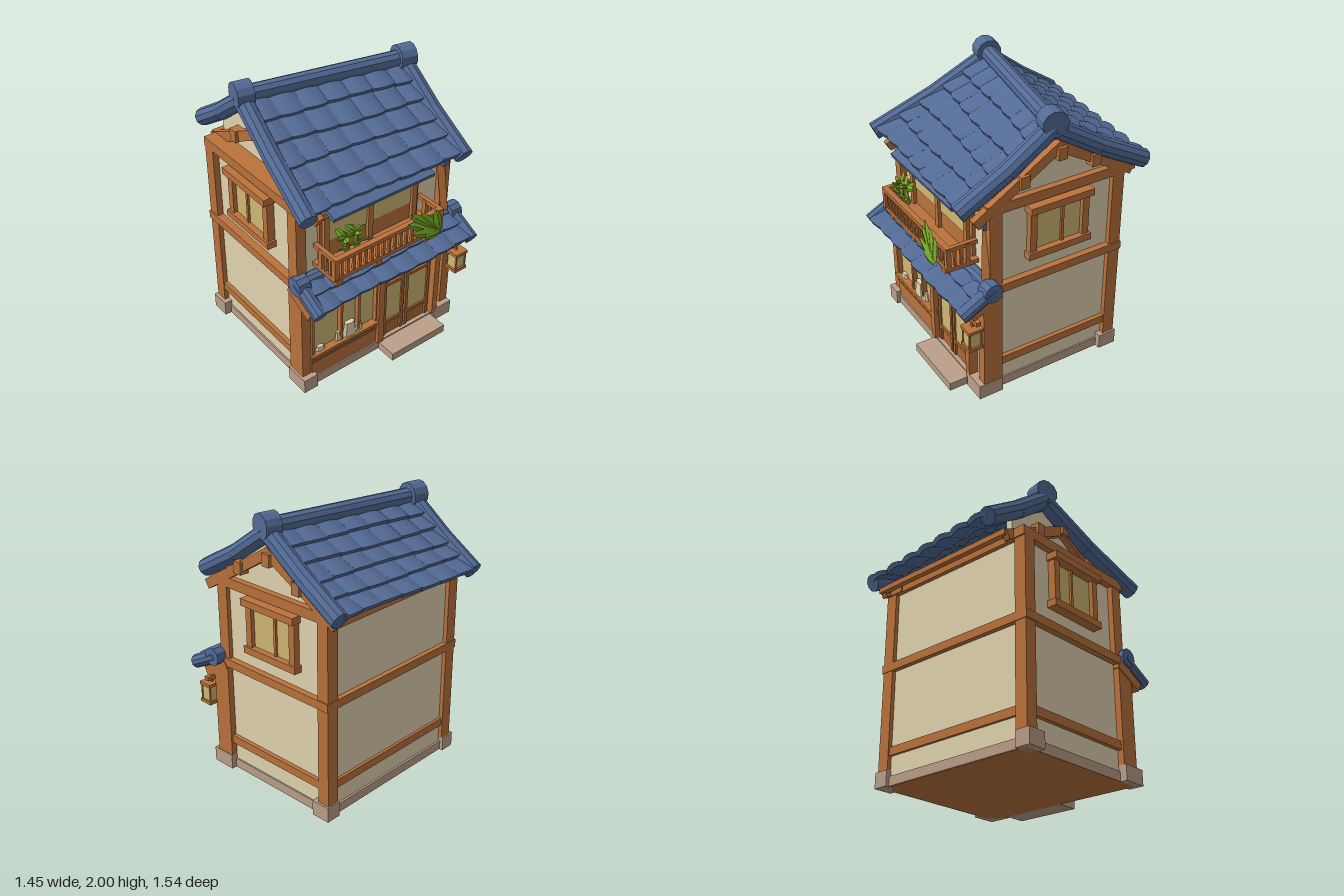
import * as THREE from 'three';

const V = (x, y, z) => new THREE.Vector3(x, y, z);
const paint = (name, color, side = THREE.FrontSide) => {
  const m = new THREE.MeshStandardMaterial({ color, flatShading: true, side });
  m.name = name;
  return m;
};

export function createModel() {
  const model = new THREE.Group();
  model.name = 'townhouse';
  const wood = paint('wood', 0xbb733c), door = paint('doorWood', 0xae6a35), plaster = paint('plaster', 0xe4d5b2);
  const stone = paint('stone', 0xbca089), tile = paint('roofTile', 0x536b96), glass = paint('paperGlass', 0xd2ba75);
  const red = paint('redCloth', 0xd46656), green = paint('leafGreen', 0x76a626, THREE.DoubleSide);

  const add = (name, geo, mat) => {
    const m = new THREE.Mesh(geo, mat);
    m.name = name;
    model.add(m);
    return m;
  };
  const box = (name, mat, x0, x1, y0, y1, z0, z1) => {
    const m = add(name, new THREE.BoxGeometry(x1 - x0, y1 - y0, z1 - z0), mat);
    m.position.set((x0 + x1) / 2, (y0 + y1) / 2, (z0 + z1) / 2);
    return m;
  };
  // straight square timber between two points
  const beam = (name, mat, a, b, w, h) => {
    const m = add(name, new THREE.BoxGeometry(w, h, a.distanceTo(b)), mat);
    m.position.copy(a).lerp(b, 0.5);
    m.lookAt(b);
    return m;
  };
  // round tile between two points
  const round = (name, a, b, r, sides = 10) => {
    const g = new THREE.CylinderGeometry(r, r, a.distanceTo(b), sides);
    const m = add(name, g, tile);
    m.position.copy(a).lerp(b, 0.5);
    m.quaternion.setFromUnitVectors(V(0, 1, 0), b.clone().sub(a).normalize());
    return m;
  };

  // overlapping arched tiles over a four-cornered slope
  function slope(name, eL, eR, rL, rR, cols, rows, sag) {
    const at = (u, v) => {
      const p = eL.clone().lerp(eR, u).lerp(rL.clone().lerp(rR, u), v);
      p.y -= sag * Math.sin(Math.PI * v);
      return p;
    };
    const n = eR.clone().sub(eL).cross(rL.clone().sub(eL)).normalize();
    for (let r = 0; r < rows; r++) for (let c = 0; c < cols; c++) {
      const g = new THREE.BoxGeometry(1, 1, 1, 4, 1, 1), p = g.attributes.position;
      const shift = 0.05 * Math.sin(c * 5.3 + r * 3.7);
      for (let i = 0; i < p.count; i++) {
        const s = p.getX(i) + 0.5, t = p.getY(i) + 0.5, w = p.getZ(i) + 0.5, arch = Math.sin(Math.PI * s);
        const v = (r + t * 1.08 - (1 - t) * (arch * 0.1 + shift)) / rows;
        const q = at((c + s) / cols, v);
        q.addScaledVector(n, 0.018 * arch + (1 - t) * 0.032 + (w - 0.6) * 0.035);
        p.setXYZ(i, q.x, q.y, q.z);
      }
      g.computeVertexNormals();
      add(name, g, tile);
    }
    return at;
  }
  // rounded tiles down the edge of a slope, reaching past the eave
  const verge = (name, at, u, v0, r) => {
    const lift = V(0, 0.012, 0), mid = at(u, 0.5).add(lift);
    round(name, at(u, v0).add(lift), mid, r);
    round(name, mid, at(u, 1).add(lift), r);
  };

  // plinth and walls
  box('floorUnderside', wood, -0.64, 0.61, 0, 0.004, -0.5, 0.57);
  box('plinth', stone, -0.64, 0.61, 0.003, 0.07, -0.505, 0.575);
  for (const [x0, x1] of [[-0.69, -0.58], [0.54, 0.65]]) box('plinthBlock', stone, x0, x1, 0, 0.11, -0.53, -0.39);
  box('plinthBlock', stone, -0.69, -0.58, 0, 0.11, 0.42, 0.6);
  box('plinthBlock', stone, 0.48, 0.65, 0, 0.11, 0.42, 0.6);
  box('doorStep', stone, -0.02, 0.47, 0, 0.06, 0.56, 0.73);
  box('lowerWall', plaster, -0.63, 0.6, 0.07, 0.86, -0.49, 0.53);
  box('upperWall', plaster, -0.62, 0.6, 0.86, 1.45, -0.49, 0.45);
  // gable ends under the skewed roof
  const gable = (pts, x, depth) => {
    const shape = new THREE.Shape(pts.map(([z, y]) => new THREE.Vector2(-z, y)));
    const geo = new THREE.ExtrudeGeometry(shape, { depth, bevelEnabled: false });
    geo.rotateY(Math.PI / 2);
    add('gableWall', geo, plaster).position.x = x;
  };
  gable([[-0.49, 1.44], [0.45, 1.44], [0.42, 1.5], [-0.18, 1.8], [-0.49, 1.6]], -0.53, 0.05);
  gable([[-0.49, 1.44], [0.45, 1.44], [0.45, 1.53], [0.04, 1.79], [-0.49, 1.54]], 0.54, 0.05);

  // timber frame, mirrored around the house centre line
  for (const s of [-1, 1]) {
    const cx = -0.015, sx = (name, mat, a, b, ...r) => {
      const p = cx + s * a, q = cx + s * b;
      return box(name, mat, Math.min(p, q), Math.max(p, q), ...r);
    };
    sx('backPost', wood, 0.56, 0.65, 0.1, 1.45, -0.52, -0.43);
    sx('lowerFrontPost', wood, 0.59, 0.66, 0.1, 0.86, 0.42, 0.56);
    sx('upperFrontPost', wood, 0.57, 0.645, 0.86, 1.45, 0.41, 0.5);
    sx('sideMidBeam', wood, 0.6, 0.66, 0.82, 0.88, -0.525, 0.5);
    sx('sideLowBeam', wood, 0.6, 0.645, 0.21, 0.27, -0.45, 0.45);
    sx('sideTopBeam', wood, 0.5, 0.65, 1.41, 1.48, -0.53, 0.52);
    // barge boards and purlin ends, tucked in under the tile edge
    const bx = s > 0 ? 0.615 : -0.553, top = s > 0 ? 1.76 : 1.72;
    beam('bargeBoard', wood, V(bx, 1.38, 0.6), V(bx, top, -0.02), 0.045, 0.07);
    beam('bargeBoard', wood, V(bx, 1.42, -0.58), V(bx, top, 0.02), 0.045, 0.07);
    for (const [y, z] of [[1.71, -0.01], [1.59, 0.26], [1.59, -0.27]])
      box('purlinEnd', wood, bx - 0.045, bx + 0.045, y - 0.045, y + 0.04, z - 0.033, z + 0.033);
    // side window
    sx('sideWindowGlass', glass, 0.6, 0.63, 1.05, 1.34, -0.19, 0.17);
    sx('sideWindowSill', wood, 0.6, 0.675, 1.0, 1.05, -0.255, 0.225);
    sx('sideWindowHead', wood, 0.6, 0.69, 1.345, 1.395, -0.255, 0.225);
    for (const z of [-0.215, 0.185]) sx('sideWindowJamb', wood, 0.6, 0.66, 1.04, 1.35, z - 0.025, z + 0.025);
    sx('sideWindowBar', wood, 0.6, 0.645, 1.04, 1.35, -0.055, -0.035);
    // rafter under the porch roof
    beam('porchRafter', wood, V(cx + s * 0.63, 0.82, 0.43), V(cx + s * 0.63, 0.71, 0.65), 0.07, 0.07);
  }
  beam('cornerBrace', wood, V(0.595, 0.93, 0.51), V(0.55, 1.42, 0.47), 0.05, 0.05);
  box('cornerFlashing', tile, 0.545, 0.6, 1.3, 1.43, 0.495, 0.525);
  box('backMidBeam', wood, -0.64, 0.61, 0.82, 0.88, -0.525, -0.47);
  box('backLowBeam', wood, -0.64, 0.61, 0.21, 0.27, -0.51, -0.47);
  box('backTopBeam', wood, -0.64, 0.61, 1.41, 1.48, -0.52, -0.47);
  box('backEaveBeam', wood, -0.56, 0.64, 1.42, 1.46, -0.6, -0.56);
  box('frontTopBeam', wood, -0.64, 0.61, 1.4, 1.46, 0.44, 0.52);

  // shop front
  box('porchBeam', wood, -0.66, 0.64, 0.7, 0.78, 0.5, 0.59);
  box('shopPanel', wood, -0.6, 0, 0.07, 0.26, 0.5, 0.565);
  box('shopPanelRail', door, -0.6, 0, 0.2, 0.215, 0.5, 0.572);
  box('displayGlass', glass, -0.58, -0.03, 0.27, 0.63, 0.5, 0.536);
  box('displaySill', wood, -0.6, 0, 0.25, 0.275, 0.5, 0.59);
  box('displayHead', wood, -0.6, 0.5, 0.62, 0.71, 0.5, 0.575);
  for (const x of [-0.59, -0.35, -0.2, -0.04]) box('displayBar', wood, x - 0.01, x + 0.01, 0.26, 0.63, 0.53, 0.57);
  box('displayPost', wood, -0.04, 0.01, 0.07, 0.7, 0.5, 0.59);
  for (const [x, r, h] of [[-0.52, 0.04, 0.03], [-0.36, 0.035, 0.07], [-0.27, 0.06, 0.11], [-0.2, 0.045, 0.06]]) {
    const jar = add('displayJar', new THREE.CylinderGeometry(r * 0.7, r, h, 8), plaster);
    jar.position.set(x, 0.275 + h / 2, 0.55);
    jar.scale.z = 0.5;
  }
  box('doorBack', door, 0, 0.48, 0.07, 0.64, 0.5, 0.545);
  for (const [a, b] of [[0.04, 0.2], [0.24, 0.44]]) {
    box('doorGlass', glass, a, b, 0.21, 0.53, 0.54, 0.55);
    for (const x of [a, b]) box('doorStile', door, x - 0.012, x + 0.012, 0.08, 0.58, 0.54, 0.562);
    for (const y of [0.2, 0.54]) box('doorRail', door, a, b, y - 0.012, y + 0.012, 0.54, 0.562);
  }
  box('doorHandle', wood, 0.015, 0.027, 0.29, 0.34, 0.54, 0.57);
  box('doorPost', wood, 0.465, 0.51, 0.08, 0.71, 0.5, 0.6);
  // short red curtain
  box('curtainRod', wood, -0.58, 0.5, 0.688, 0.7, 0.6, 0.615);
  for (let i = 0; i < 8; i++) {
    const x = -0.54 + i * 0.127, d = (i % 2) * 0.008;
    box('curtainPanel', red, x, x + 0.124, 0.645 + d, 0.69, 0.602 + d, 0.612 + d);
  }
  // hanging lantern
  box('lanternArm', wood, 0.5, 0.68, 0.655, 0.685, 0.6, 0.635);
  box('lanternHook', wood, 0.615, 0.63, 0.62, 0.66, 0.62, 0.64);
  box('lanternPaper', glass, 0.585, 0.67, 0.49, 0.61, 0.595, 0.68);
  for (const y of [0.48, 0.615]) box('lanternCap', wood, 0.572, 0.682, y - 0.012, y + 0.012, 0.585, 0.692);
  for (const x of [0.585, 0.67]) for (const z of [0.595, 0.68])
    box('lanternBar', wood, x - 0.006, x + 0.006, 0.48, 0.62, z - 0.006, z + 0.006);

  // upper front window and awning
  box('upperWindowFrame', wood, -0.46, 0.37, 0.9, 1.4, 0.44, 0.475);
  box('upperWindowGlass', glass, -0.41, 0.31, 1.09, 1.305, 0.47, 0.48);
  for (const x of [-0.42, -0.06, 0.32]) box('upperWindowBar', wood, x - 0.02, x + 0.02, 0.95, 1.32, 0.47, 0.5);
  box('upperWindowHead', wood, -0.46, 0.37, 1.3, 1.345, 0.47, 0.51);
  beam('windowAwning', tile, V(-0.045, 1.405, 0.48), V(-0.045, 1.36, 0.62), 0.83, 0.03);

  // balcony
  box('balconyFloor', wood, -0.5, 0.41, 0.93, 0.96, 0.45, 0.68);
  box('balconyRail', wood, -0.5, 0.41, 1.08, 1.11, 0.65, 0.69);
  for (const x of [-0.485, 0.395]) {
    box('balconySideRail', wood, x - 0.015, x + 0.015, 1.08, 1.11, 0.46, 0.68);
    for (const z of [0.53, 0.67]) box('balconyPost', wood, x - 0.017, x + 0.017, 0.95, 1.1, z - 0.017, z + 0.017);
    for (const z of [0.575, 0.62]) box('balconyBaluster', wood, x - 0.009, x + 0.009, 0.95, 1.09, z - 0.009, z + 0.009);
  }
  for (let i = 1; i < 18; i++) {
    const x = -0.485 + i * 0.0489;
    box('balconyBaluster', wood, x - 0.009, x + 0.009, 0.95, 1.09, 0.66, 0.678);
  }
  for (const x of [-0.44, -0.12, 0.31]) box('balconyBracket', wood, x - 0.025, x + 0.025, 0.87, 0.935, 0.5, 0.66);

  // plants, each leaf a flattened four-sided blade
  const leaf = (a, b, w) => {
    const m = add('plantLeaf', new THREE.SphereGeometry(1, 4, 4), green);
    m.scale.set(w, a.distanceTo(b) / 2, 0.012);
    m.position.copy(a).lerp(b, 0.5);
    m.quaternion.setFromUnitVectors(V(0, 1, 0), b.clone().sub(a).normalize());
  };
  for (const [x, y, z] of [[0.09, 1.12, 0.69], [0.12, 1.18, 0.68], [0.2, 1.16, 0.69], [0.31, 1.16, 0.71], [0.11, 1.05, 0.72], [0.2, 1.0, 0.74]])
    leaf(V(0.34, 0.98, 0.74), V(x, y, z), 0.036);
  for (const [cx, top] of [[-0.36, 1.23], [-0.28, 1.24]]) for (let k = 0; k < 6; k++) {
    const a = k * 1.05 + cx * 9, mid = V(cx, top - 0.05, 0.61);
    leaf(mid, V(cx + Math.cos(a) * 0.07, top + 0.03 * Math.sin(a * 2) - 0.02, 0.61 + Math.sin(a) * 0.06), 0.024);
    if (k < 2) leaf(V(cx + k * 0.03, 1.06, 0.61), mid, 0.015);
  }
  for (const x of [-0.41, -0.32, -0.25]) leaf(V(x, 1.1, 0.6), V(x + 0.05, 1.14, 0.66), 0.028);

  // main roof: skewed ridge over two tiled slopes
  const rL = V(-0.55, 1.86, -0.2), rR = V(0.59, 1.86, 0.03);
  const front = slope('frontRoofTile', V(-0.66, 1.46, 0.61), V(0.565, 1.46, 0.66), rL, rR, 7, 5, 0.02);
  const back = slope('backRoofTile', V(0.66, 1.485, -0.64), V(-0.54, 1.485, -0.73), rR, rL, 7, 5, 0.015);
  for (const u of [0, 1]) {
    verge('frontVerge', front, u, -0.04, 0.063);
    verge('backVerge', back, u, -0.01, 0.063);
  }
  const up = V(0, 0.045, 0), dir = rR.clone().sub(rL).normalize();
  for (let i = 0; i < 7; i++)
    round('ridgeTile', rL.clone().lerp(rR, i / 7).add(up), rL.clone().lerp(rR, (i + 1) / 7).add(up), 0.058);
  for (const e of [rL, rR]) {
    const c = e.clone().add(V(0, 0.053, 0));
    round('ridgeCap', c.clone().addScaledVector(dir, -0.058), c.clone().addScaledVector(dir, 0.058), 0.087, 12);
  }

  // porch roof over the shop front
  const porch = slope('porchRoofTile', V(-0.65, 0.76, 0.72), V(0.66, 0.76, 0.72), V(-0.65, 0.875, 0.5), V(0.66, 0.875, 0.5), 8, 2, 0);
  for (const u of [0, 1]) verge('porchVerge', porch, u, -0.06, 0.05);
  round('porchRidge', V(-0.65, 0.872, 0.5), V(0.65, 0.872, 0.5), 0.05);
  for (const x of [-0.65, 0.66]) round('porchRidgeCap', V(x - 0.045, 0.885, 0.515), V(x + 0.045, 0.885, 0.515), 0.068);

  return model;
}
